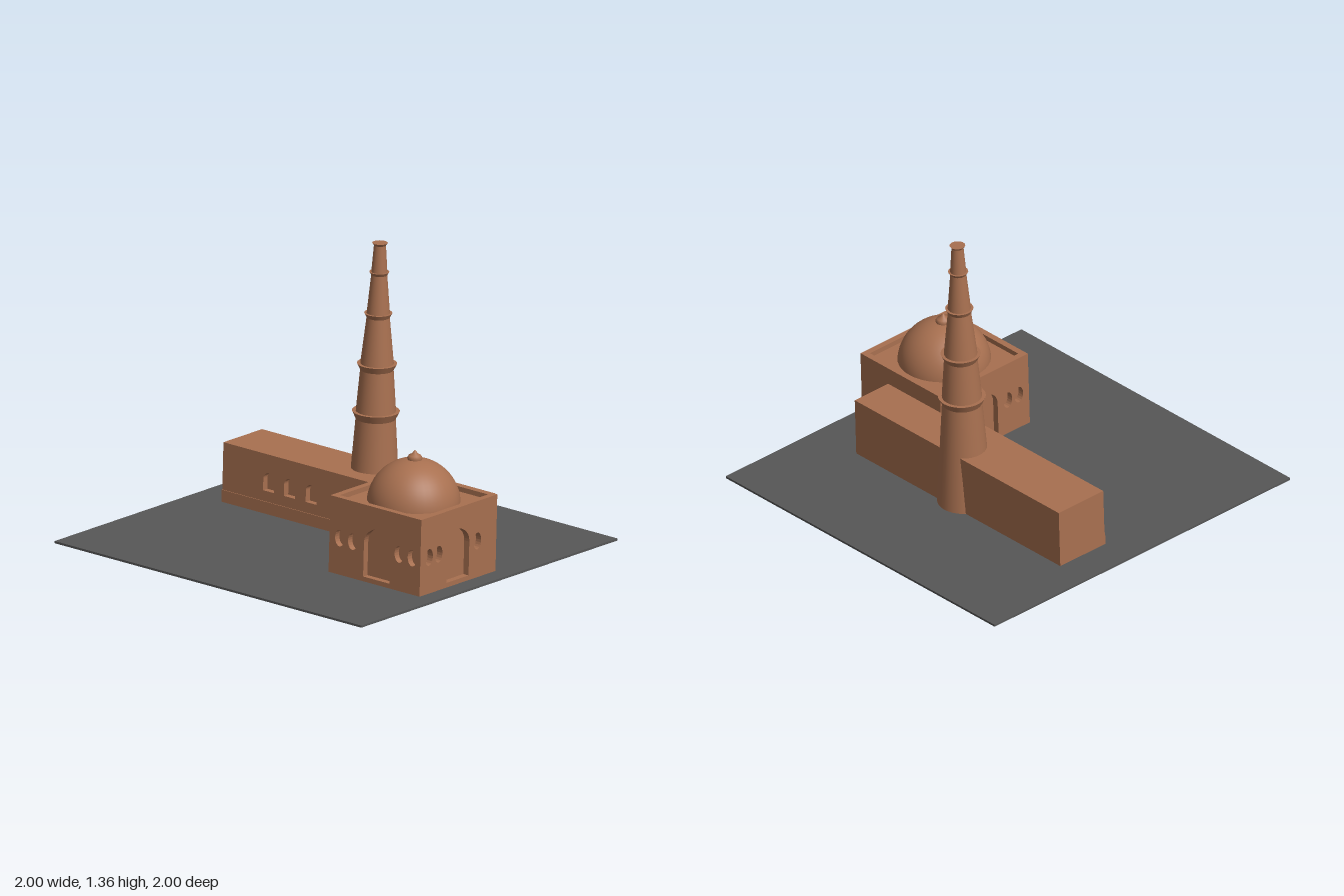
import * as THREE from 'three';

const brick = new THREE.MeshStandardMaterial({ color: 0xa87050 });
brick.name = 'terracotta';
const slate = new THREE.MeshStandardMaterial({ color: 0x575757 });
slate.name = 'dark grey ground';

const WALL = 0.03;

function add(parent, name, geometry, material, x = 0, y = 0, z = 0) {
  const mesh = new THREE.Mesh(geometry, material);
  mesh.name = name;
  mesh.position.set(x, y, z);
  parent.add(mesh);
  return mesh;
}

// Box given by its limits
function block(parent, name, x0, x1, y0, y1, z0, z1, material = brick) {
  return add(parent, name, new THREE.BoxGeometry(x1 - x0, y1 - y0, z1 - z0), material,
    (x0 + x1) / 2, (y0 + y1) / 2, (z0 + z1) / 2);
}

// Opening with a slightly pointed arch
function archHole(x, y0, spring, top, half) {
  const p = new THREE.Path();
  const rise = top - spring;
  p.moveTo(x - half, y0);
  p.lineTo(x + half, y0);
  p.lineTo(x + half, spring);
  p.bezierCurveTo(x + half, spring + rise * 0.55, x + half * 0.5, top - rise * 0.12, x, top);
  p.bezierCurveTo(x - half * 0.5, top - rise * 0.12, x - half, spring + rise * 0.55, x - half, spring);
  return p;
}

function ovalHole(x, y) {
  const p = new THREE.Path();
  p.absellipse(x, y, 0.026, 0.039, 0, Math.PI * 2, false, 0);
  return p;
}

// Upright wall whose outer face lies on z = 0
function wallGeometry(x0, x1, height, holes) {
  const s = new THREE.Shape();
  s.moveTo(x0, 0);
  s.lineTo(x1, 0);
  s.lineTo(x1, height);
  s.lineTo(x0, height);
  s.closePath();
  s.holes.push(...holes);
  return new THREE.ExtrudeGeometry(s, { depth: WALL, bevelEnabled: false, curveSegments: 10 })
    .translate(0, 0, -WALL);
}

function lathe(points, segments) {
  return new THREE.LatheGeometry(points.map(([r, y]) => new THREE.Vector2(r, y)), segments);
}

// Long low hall with a row of arched niches
function buildHall() {
  const hall = new THREE.Group();
  hall.name = 'longHall';
  const [x0, x1, zBack, zFront, h] = [-0.726, 0.625, -0.345, -0.077, 0.277];
  block(hall, 'hallBody', x0, x1, 0, h, zBack, zFront - WALL);
  const niches = [-0.459, -0.338, -0.212, 0.04, 0.166].map(
    (x) => archHole(x, 0.105, 0.16, 0.192, 0.032));
  add(hall, 'hallFrontWall', wallGeometry(x0, x1, h, niches), brick, 0, 0, zFront);
  block(hall, 'hallPlinth', x0, x1, 0, 0.056, zFront, zFront + 0.004);
  return hall;
}

// Square chamber with parapet, arched doors and a dome
function buildChamber() {
  const chamber = new THREE.Group();
  chamber.name = 'domedChamber';
  chamber.position.set(0.541, 0, 0.12);
  const half = 0.264, inner = half - WALL, h = 0.358, roof = 0.335;

  block(chamber, 'chamberCore', -inner, inner, 0, roof, -inner, inner);

  const door = (x) => archHole(x, 0.022, 0.18, 0.26, 0.076);
  const windows = (xs) => xs.map((x) => ovalHole(x, 0.17));
  add(chamber, 'frontWall', wallGeometry(-half, half, h,
    [door(0.012), ...windows([-0.205, -0.13, 0.14, 0.216])]), brick, 0, 0, half);
  add(chamber, 'backWall', wallGeometry(-half, half, h, []), brick, 0, 0, -half).rotation.y = Math.PI;
  for (const side of [1, -1]) {
    const wall = add(chamber, side > 0 ? 'leftWall' : 'rightWall', wallGeometry(-inner, inner, h,
      [door(0), ...windows([-0.203, -0.137, 0.132].map((x) => x * side))]), brick, side * half, 0, 0);
    wall.rotation.y = side * Math.PI / 2;
  }

  // Dome and finial
  add(chamber, 'dome', new THREE.SphereGeometry(0.21, 40, 16, 0, Math.PI * 2, 0, Math.PI / 2),
    brick, 0, 0.317, 0);
  add(chamber, 'finial', lathe(
    [[0.03, 0.515], [0.035, 0.532], [0.028, 0.543], [0.012, 0.552], [0.008, 0.56], [0, 0.567]], 20), brick);
  return chamber;
}

// Tapering tower: each stage ends in a flared gallery
function buildTower() {
  const tower = new THREE.Group();
  tower.name = 'tower';
  tower.position.set(-0.006, 0, -0.264);
  // [bottom y, top y, bottom radius, neck radius, gallery radius]
  const stages = [
    [0, 0.543, 0.125, 0.09, 0.107],
    [0.543, 0.765, 0.09, 0.075, 0.09],
    [0.765, 1.0, 0.075, 0.052, 0.063],
    [1.0, 1.192, 0.052, 0.036, 0.045],
    [1.192, 1.327, 0.036, 0.027, 0.035],
  ];
  stages.forEach(([y0, y1, r0, neck, flare], i) => {
    const flareBase = y1 - flare * 0.33;
    add(tower, `towerShaft${i + 1}`, new THREE.CylinderGeometry(neck, r0, flareBase - y0, 32, 1, true),
      brick, 0, (y0 + flareBase) / 2, 0);
    add(tower, `towerGallery${i + 1}`, new THREE.CylinderGeometry(flare, neck, y1 - flareBase, 32),
      brick, 0, (y1 + flareBase) / 2, 0);
  });
  return tower;
}

export function createModel() {
  const model = new THREE.Group();
  model.name = 'mosque';
  // The whole site is turned and very slightly tilted
  const site = new THREE.Group();
  site.name = 'site';
  site.rotation.set(-0.027, 0.13, -0.005);
  site.position.y = 0.041;
  model.add(site);

  block(site, 'ground', -0.89, 0.89, -0.01, 0, -0.89, 0.89, slate);
  site.add(buildHall(), buildChamber(), buildTower());
  return model;
}
